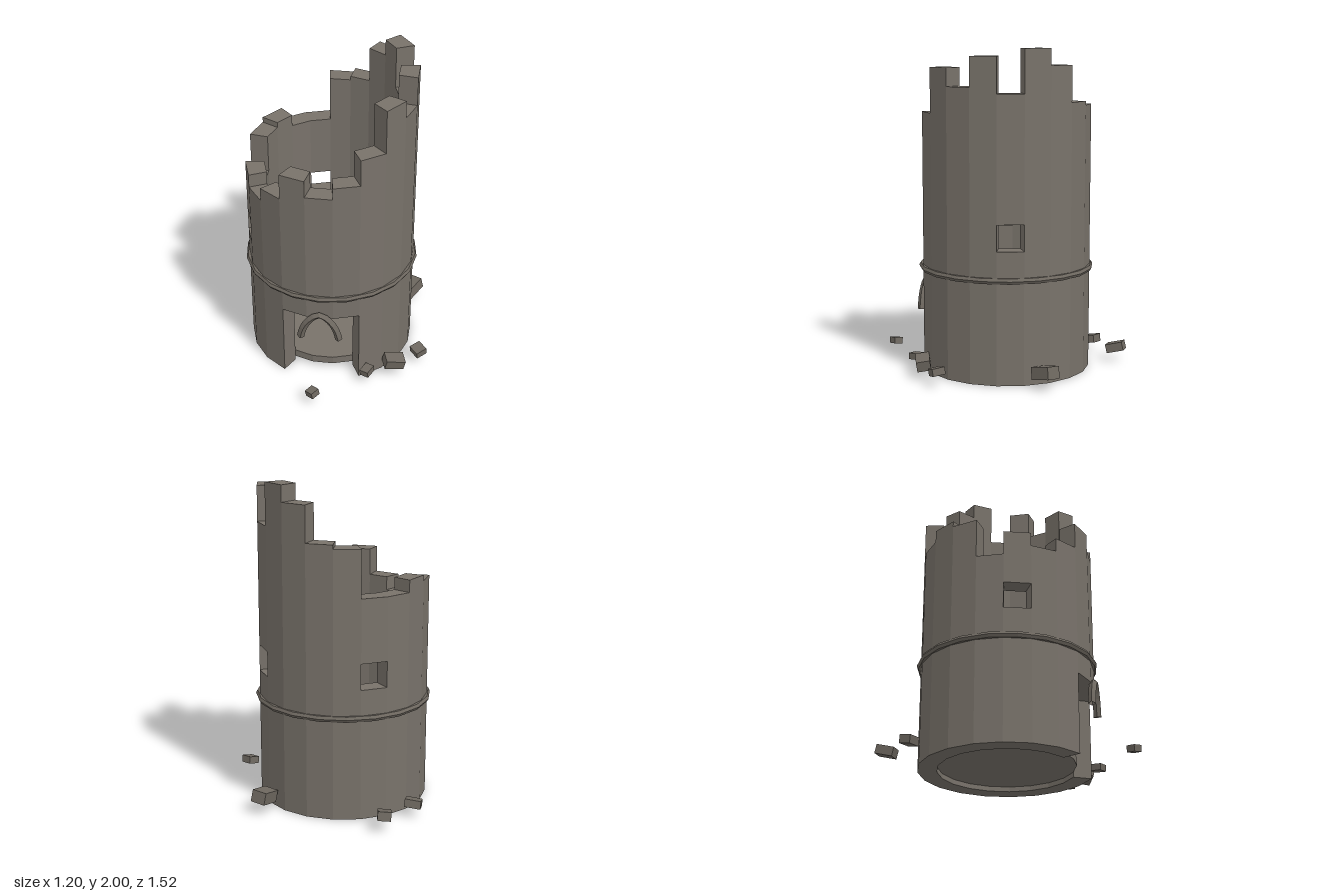
import * as THREE from 'three';

const SIDES = 20, STEP = (Math.PI * 2) / SIDES;
const R_OUT = 0.525, R_IN = 0.41;

// One wall block: a box bent onto a sector of the ring
function sector(k, y0, y1) {
  const g = new THREE.BoxGeometry(1, 1, 1);
  const p = g.attributes.position;
  for (let i = 0; i < p.count; i++) {
    const a = (k + p.getX(i)) * STEP;
    const r = p.getZ(i) > 0 ? R_OUT : R_IN;
    p.setXYZ(i, r * Math.sin(a), p.getY(i) > 0 ? y1 : y0, r * Math.cos(a));
  }
  g.computeVertexNormals();
  return g;
}

export function createModel() {
  const model = new THREE.Group();
  model.name = 'ruinedTower';
  const stone = new THREE.MeshStandardMaterial({ color: 0x78726a, flatShading: true });
  stone.name = 'stone';
  const rubbleStone = new THREE.MeshStandardMaterial({ color: 0x6e6860, flatShading: true });
  rubbleStone.name = 'rubble stone';
  const archStone = new THREE.MeshStandardMaterial({ color: 0x6e6860, flatShading: true, side: THREE.DoubleSide });
  archStone.name = 'trim stone';

  const add = (parent, name, geo, mat) => {
    const m = new THREE.Mesh(geo, mat);
    m.name = name;
    parent.add(m);
    return m;
  };

  const tower = new THREE.Group();
  tower.name = 'tower';
  tower.position.set(-0.055, 0, -0.03);
  model.add(tower);

  // Broken wall: block 0 faces the front, then round by way of +x
  const heights = [
    1.365, 1.44, 1.61, 1.885, 1.775, 1.955, 1.74, 2.0, 1.9, 1.68,
    1.655, 1.365, 1.365, 1.44, 1.405, 1.16, 1.31, 1.225, 1.31, 1.475,
  ];
  const doorBlocks = [19, 0, 1], windowBlocks = [6, 11, 16];
  heights.forEach((h, k) => {
    if (windowBlocks.includes(k)) {
      add(tower, 'wallBelowWindow', sector(k, 0, 0.815), stone);
      add(tower, 'wallAboveWindow', sector(k, 0.975, h), stone);
    } else {
      add(tower, 'wallBlock', sector(k, doorBlocks.includes(k) ? 0.49 : 0, h), stone);
    }
  });

  // Floor slab
  const floor = add(tower, 'floor',
    new THREE.CylinderGeometry(R_IN, R_IN, 0.05, SIDES, 1, false, STEP / 2), stone);
  floor.position.y = 0.055;

  // String course round the wall
  const band = add(tower, 'bandRing', new THREE.TorusGeometry(0.527, 0.02, 6, SIDES), archStone);
  band.rotation.x = Math.PI / 2;
  band.position.y = 0.64;

  // Pointed arch over the doorway
  const half = [[0.12, 0.34], [0.102, 0.41], [0.063, 0.475]];
  const path = new THREE.CatmullRomCurve3([
    ...half.map(([x, y]) => new THREE.Vector3(-x, y, 0)),
    new THREE.Vector3(0, 0.517, 0),
    ...half.slice().reverse().map(([x, y]) => new THREE.Vector3(x, y, 0)),
  ]);
  const arch = add(tower, 'doorArch', new THREE.TubeGeometry(path, 12, 0.023, 4), archStone);
  arch.position.z = 0.528;

  // Fallen stones: x, y, z, width, height, depth, turn, tilt x, tilt z
  const rubble = new THREE.Group();
  rubble.name = 'rubble';
  model.add(rubble);
  [
    [-0.27, 0.093, -0.70, 0.08, 0.055, 0.11, -0.06, 0.25, 0.05],
    [-0.46, 0.085, -0.51, 0.10, 0.05, 0.07, -0.25, 0.15, 0.1],
    [0.44, 0.1, -0.405, 0.095, 0.075, 0.14, -0.54, 0.2, 0.1],
    [0.545, 0.088, 0.235, 0.075, 0.045, 0.08, 0.7, 0.1, 0.2],
    [0.40, 0.095, 0.37, 0.125, 0.065, 0.085, 0.33, 0.15, -0.2],
    [0.24, 0.083, 0.47, 0.06, 0.04, 0.075, -0.45, 0.1, 0.05],
    [-0.07, 0.085, 0.72, 0.06, 0.04, 0.06, -0.65, 0.12, 0.15],
    [-0.175, 0.1, -0.24, 0.09, 0.05, 0.08, -0.6, 0.15, 0.1],
    [-0.045, 0.105, -0.25, 0.105, 0.07, 0.14, -0.32, 0.2, 0.1],
    [-0.165, 0.11, -0.135, 0.14, 0.06, 0.105, -0.18, 0.2, -0.12],
    [0.14, 0.095, -0.08, 0.075, 0.045, 0.105, 0.65, 0.1, 0.1],
  ].forEach(([x, y, z, w, h, d, turn, tx, tz]) => {
    const s = add(rubble, 'fallenStone', new THREE.BoxGeometry(w, h, d), rubbleStone);
    s.position.set(x, y, z);
    s.rotation.set(tx, turn, tz, 'YXZ');
  });

  return model;
}
